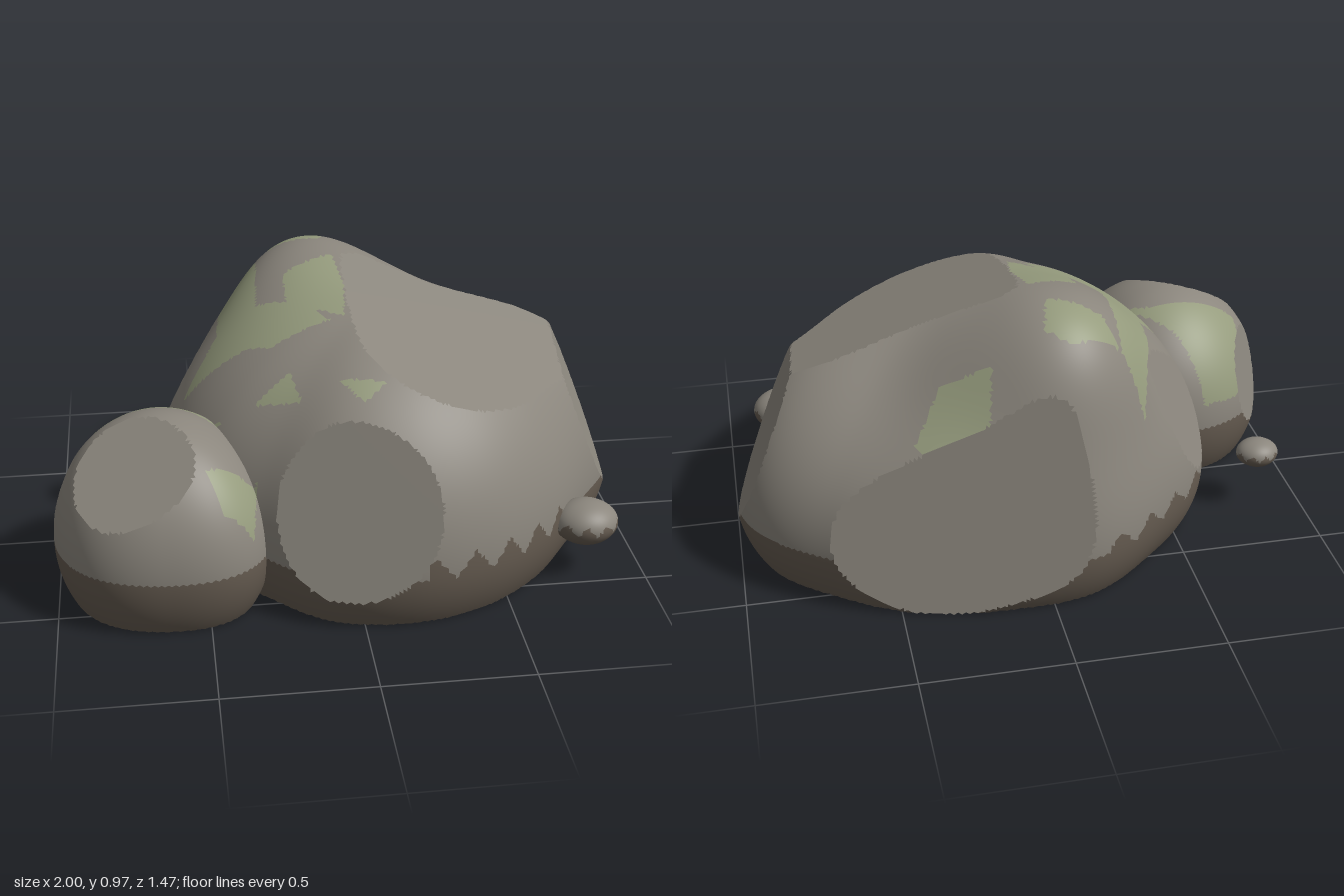
import * as THREE from 'three';

const V = (x, y, z) => new THREE.Vector3(x, y, z);
const material = (color) => new THREE.MeshStandardMaterial({ color });
const MATERIALS = { Stone: material(0x8b867d), Earth: material(0x655b50), Moss: material(0x959b7d) };

// Moss patches as plan outlines [x, z, x, z, ...]
const MOSS = [
  [-.33, -.53, -.25, -.5, -.28, -.1, -.12, 0, -.05, .12, -.25, .14, -.33, .08, -.55, .02, -.42, -.12, -.4, -.3],
  [-.25, -.5, -.08, -.55, 0, -.5, -.03, -.37, -.2, -.42],
  [-.18, -.18, 0, -.24, .02, -.05, 0, .12, -.18, -.02],
  [.2, -.63, .38, -.6, .43, -.55, .33, -.45, .17, -.5],
  [.8, -.02, .88, 0, .84, .15, .79, .2],
  [-.05, .38, .1, .42, .02, .47],
  [-.32, .3, -.2, .27, -.17, .38],
  [-.88, .1, -.85, 0, -.7, -.05, -.62, .08, -.42, .27, -.55, .2, -.72, .2, -.88, .22],
  [-.5, .52, -.33, .45, -.35, .58, -.45, .6],
];

function inside(poly, x, z) {
  let hit = false;
  for (let i = 0, j = poly.length - 2; i < poly.length; j = i, i += 2) {
    const [xi, zi, xj, zj] = [poly[i], poly[i + 1], poly[j], poly[j + 1]];
    if ((zi > z) !== (zj > z) && x < (xj - xi) * (z - zi) / (zj - zi) + xi) hit = !hit;
  }
  return hit;
}

// Smooth periodic interpolation of plan radii, evenly spaced from +x towards +z
function planRadius(radii, angle) {
  const n = radii.length;
  const t = ((angle / (2 * Math.PI)) * n + n) % n;
  const i = Math.floor(t), f = t - i;
  const [a, b, c, d] = [-1, 0, 1, 2].map((k) => radii[(i + k + n) % n]);
  return b + 0.5 * f * (c - a + f * (2 * a - 5 * b + 4 * c - d + f * (3 * (b - c) + d - a)));
}

// A rounded stone with lobes, chipped flat by planes, split by surface colour
function rock(name, o) {
  const planes = o.cuts.map(([normal, point]) => {
    const n = normal.clone().normalize();
    return { n, d: n.dot(point.clone().sub(o.center)) };
  });
  const lobes = (o.lobes || []).map(([dir, a, k]) => ({ dir: dir.clone().normalize(), a, k }));

  const bodyPoint = (d) => {
    const R = planRadius(o.radii, Math.atan2(d.z, d.x));
    const H = d.y > 0 ? o.up : o.down;
    let r = 1 / Math.sqrt((d.x * d.x + d.z * d.z) / (R * R) + (d.y * d.y) / (H * H));
    for (const l of lobes) r += l.a * Math.exp(l.k * (d.dot(l.dir) - 1));
    return d.clone().multiplyScalar(r);
  };
  const bodyNormal = (d) => {
    const t = V(0, 1, 0).cross(d);
    if (t.lengthSq() < 1e-4) t.set(1, 0, 0);
    t.normalize();
    const b = d.clone().cross(t);
    const slope = (axis) => bodyPoint(d.clone().addScaledVector(axis, .03).normalize())
      .sub(bodyPoint(d.clone().addScaledVector(axis, -.03).normalize()));
    return slope(t).cross(slope(b)).normalize();
  };
  // Nearest surface along a direction: the body (-1) or one of the cuts
  const surface = (d) => {
    const p = bodyPoint(d);
    let r = p.length(), id = -1;
    planes.forEach((pl, i) => {
      const c = pl.n.dot(d);
      if (c > 1e-3 && pl.d / c < r) { r = pl.d / c; id = i; }
    });
    return { p: d.clone().multiplyScalar(r), id };
  };

  const sphere = new THREE.IcosahedronGeometry(1, o.detail).attributes.position;
  const parts = { Stone: [[], []], Earth: [[], []], Moss: [[], []] };
  for (let i = 0; i < sphere.count; i += 3) {
    const dirs = [0, 1, 2].map((k) => V().fromBufferAttribute(sphere, i + k).normalize());
    const mid = dirs[0].clone().add(dirs[1]).add(dirs[2]).normalize();
    const { p, id } = surface(mid);
    const m = p.add(o.center);
    let kind = 'Stone';
    if (id < 0) {
      if (m.y < o.earthLine(Math.atan2(mid.z, mid.x))) kind = 'Earth';
      else if (o.moss && m.y > .3 && MOSS.some((poly) => inside(poly, m.x, m.z))) kind = 'Moss';
    }
    for (const d of dirs) {
      const q = surface(d).p.add(o.center);
      const n = id < 0 ? bodyNormal(d) : planes[id].n;
      parts[kind][0].push(q.x, q.y, q.z);
      parts[kind][1].push(n.x, n.y, n.z);
    }
  }

  const group = new THREE.Group();
  group.name = name;
  for (const [kind, [pos, nor]] of Object.entries(parts)) {
    if (!pos.length) continue;
    const g = new THREE.BufferGeometry();
    g.setAttribute('position', new THREE.Float32BufferAttribute(pos, 3));
    g.setAttribute('normal', new THREE.Float32BufferAttribute(nor, 3));
    const mesh = new THREE.Mesh(g, MATERIALS[kind]);
    mesh.name = name + kind;
    group.add(mesh);
  }
  return group;
}

// Saw-tooth height for the ragged edge of the earth band
const teeth = (a, count, height) => {
  const t = ((a / (2 * Math.PI)) * count + count) % 1;
  return height * (1 - Math.abs(2 * t - 1));
};

export function createModel() {
  const model = new THREE.Group();
  model.name = 'boulders';

  // Large boulder
  model.add(rock('mainBoulder', {
    center: V(.15, .2, 0), up: .69, down: .53, detail: 60, moss: true,
    radii: [.835, .725, .705, .715, .73, .735, .70, .755, .8, .82, .78, .785, .755, .78, .81, .88],
    lobes: [
      [V(-.29, .76, -.51), .195, 13],  // peak
      [V(.6, .48, -.12), .04, 15],     // right shoulder
      [V(.4, .5, -.45), -.06, 12],     // saddle behind the slope
    ],
    cuts: [
      [V(0, -1, 0), V(0, 0, 0)],               // base
      [V(.348, 1, .232), V(0, .91, 0)],        // broad top slope
      [V(-.31, .35, 1), V(0, .1, .715)],       // front
      [V(1, .4, .15), V(.95, .2, 0)],          // +x side
      [V(.2, .17, -1), V(0, .3, -.703)],       // back
      [V(-1, .43, -.4), V(-.653, .25, -.18)],  // -x side, towards the back
      [V(0, 1, 0), V(0, .972, 0)],             // summit
    ],
    earthLine: (a) => .185 + (a > .55 && a < 1.5 ? teeth(a, 32, .09)
      : a < -2 && a > -2.9 ? teeth(a, 32, .07) : .015),
  }));

  // Smaller boulder leaning against it
  model.add(rock('sideBoulder', {
    center: V(-.645, .2, .32), up: .43, down: .39, detail: 32, moss: true,
    radii: [.365, .4, .355, .36, .36, .37, .385, .38],
    cuts: [
      [V(0, -1, 0), V(0, 0, 0)],
      [V(-.42, 1, .65), V(-.75, .505, .44)],
      [V(-1, .25, -.5), V(-.945, .28, .2)],
    ],
    earthLine: () => .21,
  }));

  // Pebbles
  const pebble = (name, center, r, up) => rock(name, {
    center, up, down: up, radii: [r, r * .93, r * .9, r * .93, r, r * .93, r * .9, r * .93],
    detail: 8, cuts: [],
    earthLine: (a) => center.y - up * .15 + teeth(a, 9, up * .5),
  });
  model.add(pebble('frontPebble', V(.795, .195, .42), .112, .075));
  model.add(pebble('backPebble', V(-.835, .215, -.25), .075, .048));
  return model;
}
